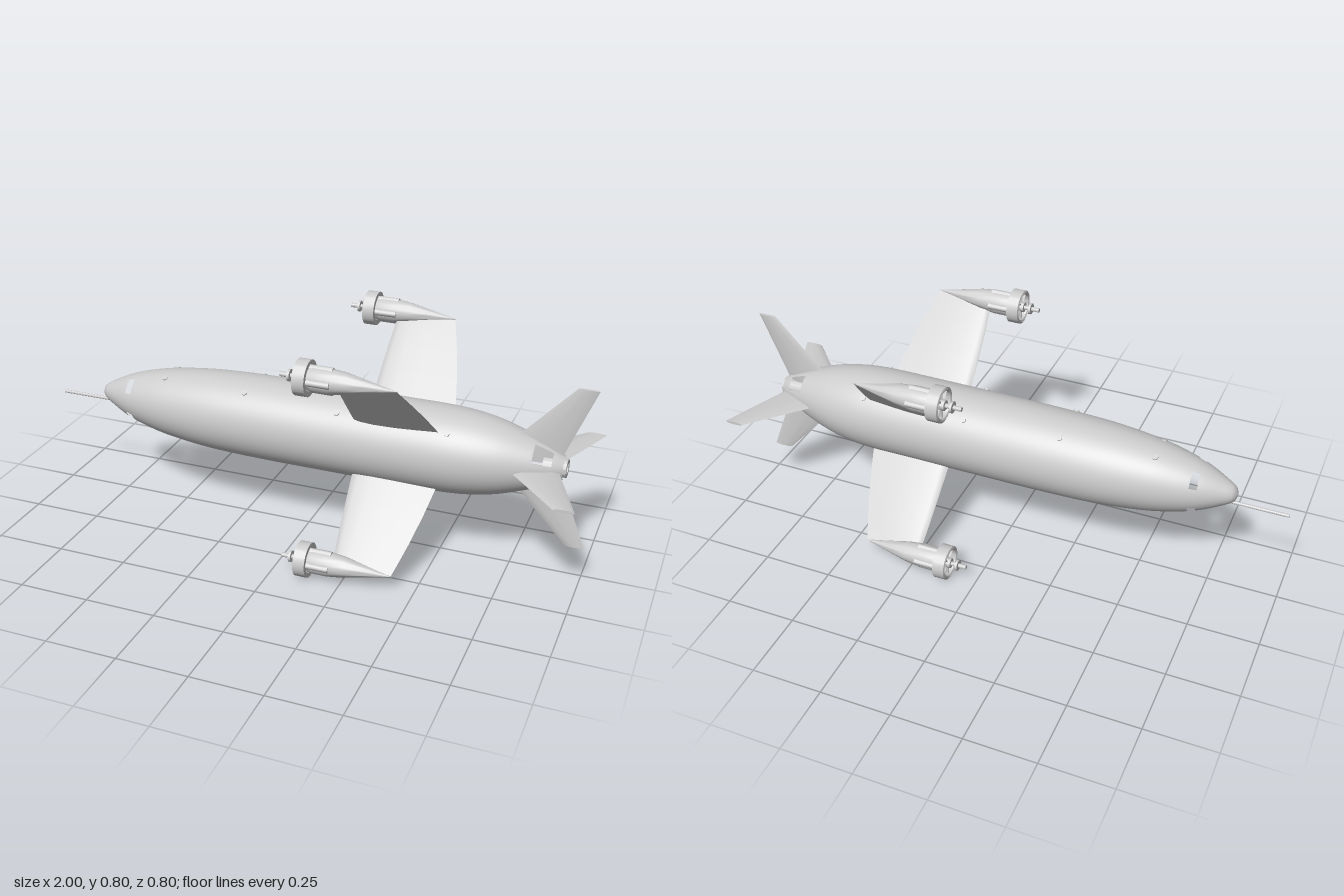
import * as THREE from 'three';
import { toCreasedNormals } from 'three/addons/utils/BufferGeometryUtils.js';

const grey = new THREE.MeshStandardMaterial({ color: 0xcccccc });
const V2 = (x, y) => new THREE.Vector2(x, y);

function add(parent, name, geometry) {
  const mesh = new THREE.Mesh(geometry, grey);
  mesh.name = name;
  parent.add(mesh);
  return mesh;
}

// Solid of revolution about x; points are [x, radius], running towards +x
function turned(points, segments = 32) {
  const g = new THREE.LatheGeometry(points.map(([x, r]) => V2(r, x)), segments);
  return g.rotateZ(-Math.PI / 2);
}

// Closed rod along x
const rod = (x0, x1, r, segments = 16) =>
  toCreasedNormals(turned([[x0, 0], [x0, r], [x1, r], [x1, 0]], segments), 0.6);

// Blade lofted outwards along y; stations are [y, leading x, trailing x, thickness]
function blade(stations, section) {
  const loop = [...section, ...section.slice(1, -1).reverse().map(([t, h]) => [t, -h])];
  const n = loop.length, pos = [], index = [];
  for (const [y, x0, x1, thick] of stations)
    for (const [t, h] of loop) pos.push(x0 + (x1 - x0) * t, y, h * thick / 2);
  for (let s = 0; s < stations.length - 1; s++)
    for (let i = 0; i < n; i++) {
      const a = s * n + i, b = s * n + (i + 1) % n;
      index.push(a, b, a + n, b, b + n, a + n);
    }
  const top = (stations.length - 1) * n;
  for (let i = 1; i < n - 1; i++) index.push(0, i + 1, i, top, top + i, top + i + 1);
  const g = new THREE.BufferGeometry();
  g.setAttribute('position', new THREE.Float32BufferAttribute(pos, 3));
  g.setIndex(index);
  return toCreasedNormals(g, 0.6);
}

// Four copies of a part spaced around the hull axis
function around(parent, name, startAngle, build) {
  for (let k = 0; k < 4; k++) {
    const g = new THREE.Group();
    g.name = name;
    g.rotation.x = startAngle + k * Math.PI / 2;
    build(g);
    parent.add(g);
  }
}

const hullCurve = new THREE.SplineCurve([
  [-0.815, 0.022], [-0.79, 0.04], [-0.7, 0.083], [-0.6, 0.112], [-0.5, 0.13], [-0.35, 0.145],
  [-0.15, 0.151], [0.1, 0.152], [0.35, 0.152], [0.5, 0.151], [0.6, 0.144], [0.7, 0.125],
  [0.8, 0.092], [0.87, 0.062], [0.91, 0.04],
].map(([x, r]) => V2(x, r)));

function hullGeometry() {
  const pts = hullCurve.getSpacedPoints(130).map((p) => [p.x, p.y]);
  const g = turned([[-0.822, 0], ...pts], 96);
  // Leave out the faces of the nose windows and tail vents on the diagonals
  const p = g.attributes.position, src = g.index.array, kept = [];
  for (let i = 0; i < src.length; i += 6) {
    const a = src[i], c = src[i + 3];
    const x = (p.getX(a) + p.getX(c)) / 2;
    const y = (p.getY(a) + p.getY(c)) / 2, z = (p.getZ(a) + p.getZ(c)) / 2;
    const deg = (THREE.MathUtils.radToDeg(Math.atan2(z, y)) + 360) % 90;
    const off = Math.abs(deg - 45);
    const nose = x > -0.69 && x < -0.672 && off < 18;
    const tail = x > 0.81 && x < 0.875 && off < 25;
    if (!nose && !tail) kept.push(...src.slice(i, i + 6));
  }
  g.setIndex(kept);
  return g;
}

function buildEngine(parent) {
  const engine = new THREE.Group();
  engine.name = 'engine';
  engine.position.y = 0.478;
  parent.add(engine);

  // Tapering pod behind the duct
  add(engine, 'enginePod', toCreasedNormals(turned([
    [0.125, 0], [0.125, 0.036], [0.15, 0.043], [0.2, 0.043], [0.26, 0.036],
    [0.32, 0.023], [0.38, 0.01], [0.43, 0]], 24), 0.6));

  // Open duct with fan
  add(engine, 'duct', toCreasedNormals(turned([
    [0.137, 0.044], [0.095, 0.048], [0.092, 0.054], [0.095, 0.061],
    [0.137, 0.061], [0.137, 0.044]], 40), 0.6));
  add(engine, 'fanHub', rod(0.09, 0.13, 0.018));
  for (let i = 0; i < 8; i++) {
    const g = new THREE.BoxGeometry(0.016, 0.036, 0.005);
    g.rotateY(0.5).translate(0.108, 0.032, 0).rotateX(i * Math.PI / 4);
    add(engine, 'fanBlade', g);
  }

  // Shaft and collar ahead of the fan
  add(engine, 'shaft', rod(0.033, 0.1, 0.008));
  add(engine, 'collar', rod(0.062, 0.07, 0.02));

  // Four exhaust pipes around the pod
  for (let i = 0; i < 4; i++) {
    const pipe = toCreasedNormals(turned([
      [0.13, 0.012], [0.215, 0.012], [0.215, 0.007], [0.2, 0.007], [0.2, 0]], 16), 0.6);
    const a = Math.PI / 4 + i * Math.PI / 2;
    pipe.translate(0, 0.036 * Math.cos(a), 0.036 * Math.sin(a));
    add(engine, 'exhaustPipe', pipe);
  }
}

export function createModel() {
  const model = new THREE.Group();
  model.name = 'aircraft';
  const craft = new THREE.Group();
  craft.name = 'airframe';
  craft.position.y = 0.4;
  model.add(craft);

  add(craft, 'hull', hullGeometry());
  add(craft, 'noseProbe', rod(-1, -0.76, 0.006, 12)).position.y = -0.035;

  // Tail nozzle
  add(craft, 'tailNozzle', toCreasedNormals(turned([
    [0.84, 0], [0.84, 0.032], [0.92, 0.032], [0.92, 0.018], [0.905, 0.014], [0.905, 0]]), 0.6));

  // Diagonal wings, each with a tip engine
  const airfoil = [[0, 0], [0.02, 0.4], [0.08, 0.75], [0.25, 1], [0.5, 0.9], [0.75, 0.5], [1, 0]];
  around(craft, 'wing', Math.PI / 4, (g) => {
    add(g, 'wingPanel', blade([
      [0.11, 0.2, 0.508, 0.024], [0.16, 0.202, 0.5, 0.023], [0.25, 0.205, 0.483, 0.022],
      [0.35, 0.209, 0.46, 0.02], [0.43, 0.214, 0.438, 0.018], [0.475, 0.22, 0.425, 0.012]], airfoil));
    buildEngine(g);
  });

  // Upright and level tail fins
  const finSection = [[0, 0.15], [0.15, 0.8], [0.5, 1], [0.85, 0.8], [1, 0.25]];
  around(craft, 'tailFin', 0, (g) => add(g, 'finPanel', blade([
    [0.025, 0.7, 0.895, 0.018], [0.09, 0.745, 0.92, 0.015], [0.292, 0.93, 1, 0.011]], finSection)));

  // Small round ports along the upper hull: x, radius, angle from the top
  for (const [x, r, deg] of [[-0.54, 0.124, 25], [-0.21, 0.15, 35], [0.14, 0.152, 42], [0.53, 0.15, 45]])
    for (const side of [-1, 1]) {
      const port = new THREE.CylinderGeometry(0.01, 0.01, 0.008, 16);
      port.translate(x, r, 0).rotateX(side * THREE.MathUtils.degToRad(deg));
      add(craft, 'port', port);
    }
  return model;
}
